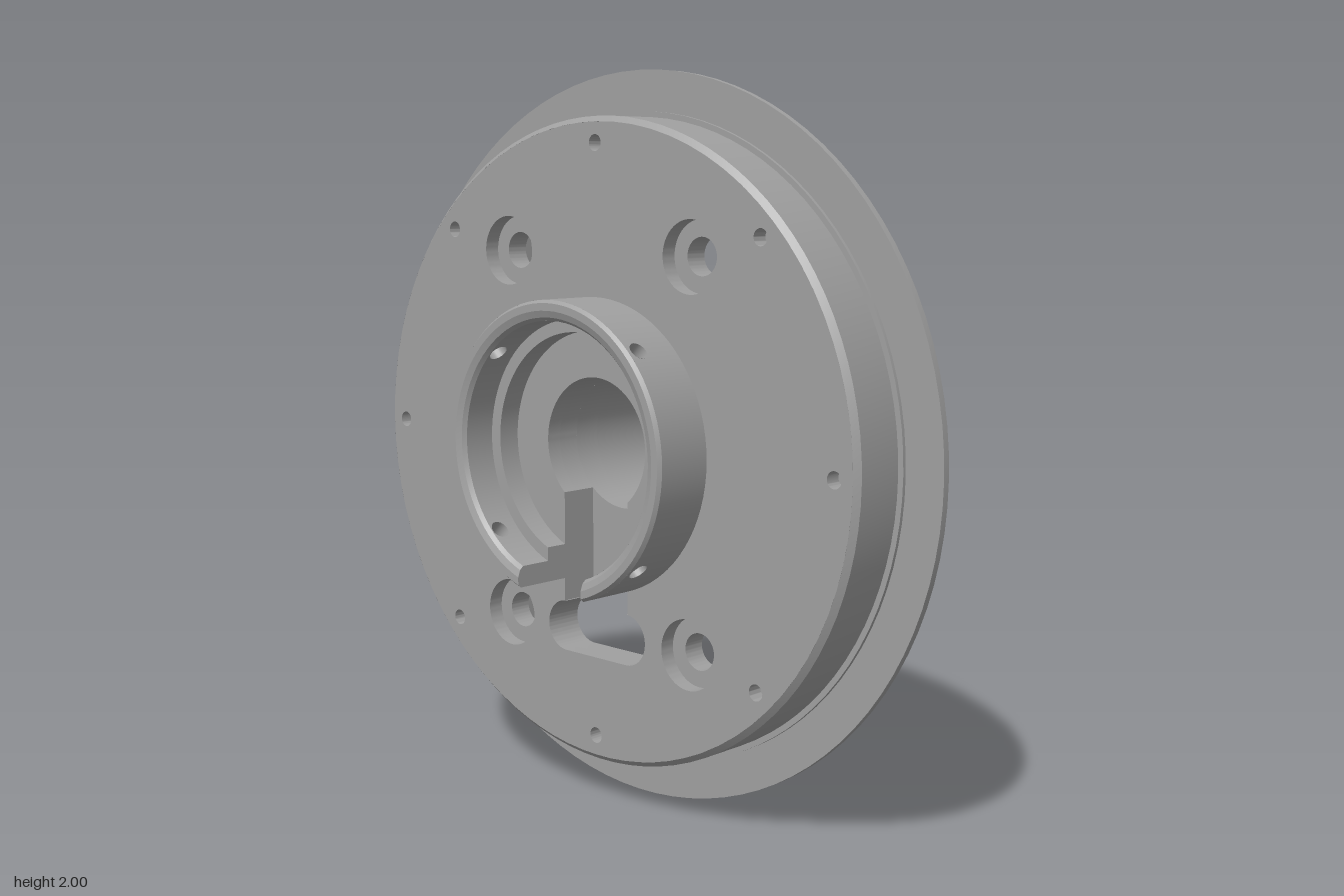
import * as THREE from 'three';
import { mergeGeometries, toCreasedNormals } from 'three/addons/utils/BufferGeometryUtils.js';

const PI = Math.PI;
const SLOT = 0.12;          // half width of the slot at the bottom
const BORE = 0.185;
const V = (x, y) => new THREE.Vector2(x, y);

const circle = (x, y, r) => new THREE.Path().absarc(x, y, r, 0, PI * 2, true);

// Flat disc layer between two depths with holes through it
function layer(z0, z1, holes) {
  const s = new THREE.Shape().absarc(0, 0, 0.86, 0, PI * 2, false);
  s.holes.push(...holes);
  const g = new THREE.ExtrudeGeometry(s, { depth: z1 - z0, bevelEnabled: false, curveSegments: 40 });
  g.translate(0, 0, z0);
  return toCreasedNormals(g, 0.5);
}

// Rectangular pocket with relieved round corners
function pocket(y) {
  const w = 0.44, h = 0.11, r = 0.03, p = new THREE.Path();
  p.absarc(w, y + h, r, -PI / 2, PI, false);
  p.absarc(-w, y + h, r, 0, PI * 1.5, false);
  p.absarc(-w, y - h, r, PI / 2, PI * 2, false);
  p.absarc(w, y - h, r, PI, PI * 2.5, false);
  p.closePath();
  return p;
}

// Bore, channel and rounded cable slot in one outline
function keyhole() {
  const a = Math.asin(SLOT / BORE), p = new THREE.Path();
  p.absarc(0, 0, BORE, -PI / 2 + a, PI * 1.5 - a, false);
  p.lineTo(-SLOT, -0.445);
  p.absarc(-0.115, -0.515, 0.07, PI / 2, PI * 1.5, false);
  p.absarc(0.115, -0.515, 0.07, -PI / 2, PI / 2, false);
  p.lineTo(SLOT, -0.445);
  p.closePath();
  return p;
}

// Cylindrical wall bent from flat panels; each hole is a loop of (angle, z)
function wall(r, z0, z1, a0, a1, holes, inward = false) {
  const parts = [];
  const panel = (s, e, hole) => {
    const n = hole ? 6 : 1, pts = [];
    for (let i = 0; i <= n; i++) pts.push(V(s + (e - s) * i / n, z0));
    for (let i = n; i >= 0; i--) pts.push(V(s + (e - s) * i / n, z1));
    const shape = new THREE.Shape(pts);
    if (hole) shape.holes.push(new THREE.Path(hole));
    const g = new THREE.ShapeGeometry(shape), p = g.attributes.position, k = inward ? -1 : 1;
    for (let i = 0; i < p.count; i++) {
      const a = p.getX(i), z = p.getY(i);
      p.setXYZ(i, r * Math.cos(a), r * Math.sin(a), z);
      g.attributes.normal.setXYZ(i, k * Math.cos(a), k * Math.sin(a), 0);
    }
    if (inward) g.index.array.reverse();
    parts.push(g);
  };
  const plain = (s, e) => {
    const n = Math.ceil((e - s) / 0.08);
    for (let i = 0; i < n; i++) panel(s + (e - s) * i / n, s + (e - s) * (i + 1) / n);
  };
  let at = a0;
  for (const h of holes) {
    const xs = h.map(q => q.x), lo = Math.min(...xs) - 0.03, hi = Math.max(...xs) + 0.03;
    plain(at, lo);
    panel(lo, hi, h);
    at = hi;
  }
  plain(at, a1);
  return mergeGeometries(parts);
}

const loop = f => Array.from({ length: 20 }, (_, i) => f(i / 20 * PI * 2));
const slotStart = r => -PI / 2 + Math.asin(SLOT / r);
const slotEnd = r => PI * 1.5 - Math.asin(SLOT / r);

// One profile segment swept round the axis, clipped by the slot
function sweep([r0, z0], [r1, z1]) {
  const n = 80, pos = [], idx = [];
  for (let i = 0; i <= n; i++) {
    for (const [r, z] of [[r0, z0], [r1, z1]]) {
      const a = THREE.MathUtils.lerp(slotStart(r), slotEnd(r), i / n);
      pos.push(r * Math.cos(a), r * Math.sin(a), z);
    }
    if (i < n) idx.push(2 * i, 2 * i + 2, 2 * i + 1, 2 * i + 2, 2 * i + 3, 2 * i + 1);
  }
  const g = new THREE.BufferGeometry();
  g.setAttribute('position', new THREE.Float32BufferAttribute(pos, 3));
  g.setIndex(idx);
  g.computeVertexNormals();
  return g;
}

export function createModel() {
  const metal = new THREE.MeshStandardMaterial({ color: 0xa0a0a0, side: THREE.DoubleSide });
  metal.name = 'grey metal';
  const model = new THREE.Group();
  model.name = 'mountingHub';
  const body = new THREE.Group();
  body.name = 'hubBody';
  body.position.y = 1;
  model.add(body);
  const add = (name, g) => {
    const m = new THREE.Mesh(g, metal);
    m.name = name;
    body.add(m);
    return m;
  };

  // Disc core: back pockets, bolt holes, counterbores and pin holes
  const bolts = r => [-1, 1].flatMap(x => [-1, 1].map(y => circle(x * 0.34, y * 0.515, r)));
  const pins = Array.from({ length: 8 }, (_, i) =>
    circle(0.805 * Math.cos(i * PI / 4), 0.805 * Math.sin(i * PI / 4), 0.022));
  add('backPlate', layer(-0.085, -0.005, [circle(0, 0, BORE), pocket(0.515), pocket(-0.515)]));
  add('middlePlate', layer(-0.005, 0.06, [keyhole(), ...bolts(0.05)]));
  add('frontPlate', layer(0.06, 0.105, [keyhole(), ...bolts(0.095), ...pins]));

  // Flange, step and chamfered rim
  const rim = [[0.86, -0.085], [1, -0.085], [1, -0.065], [0.89, -0.065], [0.89, -0.055],
    [0.875, -0.055], [0.875, 0.09], [0.86, 0.105]].map(p => V(...p));
  const rimGeo = new THREE.LatheGeometry(rim, 96);
  rimGeo.rotateX(PI / 2);
  add('flangeRim', toCreasedNormals(rimGeo, 0.4));

  // Front ring, open at the bottom, with four radial screw holes
  const holeZ = 0.233, holeR = 0.026;
  const angles = [-1, 1, 3, 5].map(k => k * PI / 4);
  const ringHoles = r => angles.map(a =>
    loop(t => V(a + holeR * Math.cos(t) / r, holeZ + holeR * Math.sin(t))));
  const prof = [[0.4, 0.105], [0.4, 0.27], [0.392, 0.28], [0.372, 0.28], [0.354, 0.273],
    [0.345, 0.262], [0.345, 0.17], [0.31, 0.17], [0.31, 0.105]];
  prof.slice(1).forEach((p, i) => {
    const q = prof[i];
    if (i === 0) add('ringOuterWall', wall(0.4, q[1], p[1], slotStart(0.4), slotEnd(0.4), ringHoles(0.4)));
    else if (i === 5) add('ringInnerWall', wall(0.345, p[1], q[1], slotStart(0.345), slotEnd(0.345), ringHoles(0.345), true));
    else add('ringLip', sweep(q, p));
  });
  for (const s of [-1, 1]) {
    const end = new THREE.ShapeGeometry(new THREE.Shape(
      prof.map(([r, z]) => V(s * z, -Math.sqrt(r * r - SLOT * SLOT)))));
    end.rotateY(-s * PI / 2);
    end.translate(s * SLOT, 0, 0);
    add('ringEnd', end);
  }
  for (const a of angles) {
    const g = new THREE.CylinderGeometry(holeR, holeR, 0.055, 20, 1, true);
    g.translate(0, 0.3725, holeZ);
    g.rotateZ(a - PI / 2);
    add('ringScrewHole', g);
  }

  // Back half collar with two clamp holes
  const R = 0.35, zA = -0.285, zB = -0.085, cz = -0.185, cy = 0.255, cr = 0.03;
  const clampHoles = [1, -1].map(s => loop(t =>
    V(PI - s * Math.asin((cy + cr * Math.cos(t)) / R), cz + cr * Math.sin(t))));
  add('collarOuterWall', wall(R, zA, zB, PI / 2, PI * 1.5, clampHoles));
  add('collarBore', wall(BORE, zA, zB, PI / 2, PI * 1.5, [], true));
  const half = new THREE.Shape().absarc(0, 0, R, PI / 2, PI * 1.5, false);
  half.absarc(0, 0, BORE, PI * 1.5, PI / 2, true);
  const cap = new THREE.ShapeGeometry(half, 40);
  cap.rotateX(PI);
  cap.translate(0, 0, zA);
  add('collarBackFace', cap);
  for (const s of [-1, 1]) {
    const y0 = s * BORE, y1 = s * R;
    const face = new THREE.Shape([V(-zA, y0), V(-zB, y0), V(-zB, y1), V(-zA, y1)]);
    face.holes.push(circle(-cz, s * cy, cr));
    const g = new THREE.ShapeGeometry(face, 20);
    g.rotateY(PI / 2);
    add('collarSplitFace', g);
    // Hole bored straight across to the curved outside
    const tube = new THREE.CylinderGeometry(cr, cr, 0.2, 20, 1, true);
    tube.rotateZ(PI / 2);
    tube.translate(-0.1, s * cy, cz);
    const p = tube.attributes.position;
    for (let i = 0; i < p.count; i++) {
      if (p.getX(i) < -0.1) p.setX(i, -Math.sqrt(R * R - p.getY(i) ** 2));
    }
    add('collarClampHole', tube);
  }
  return model;
}
